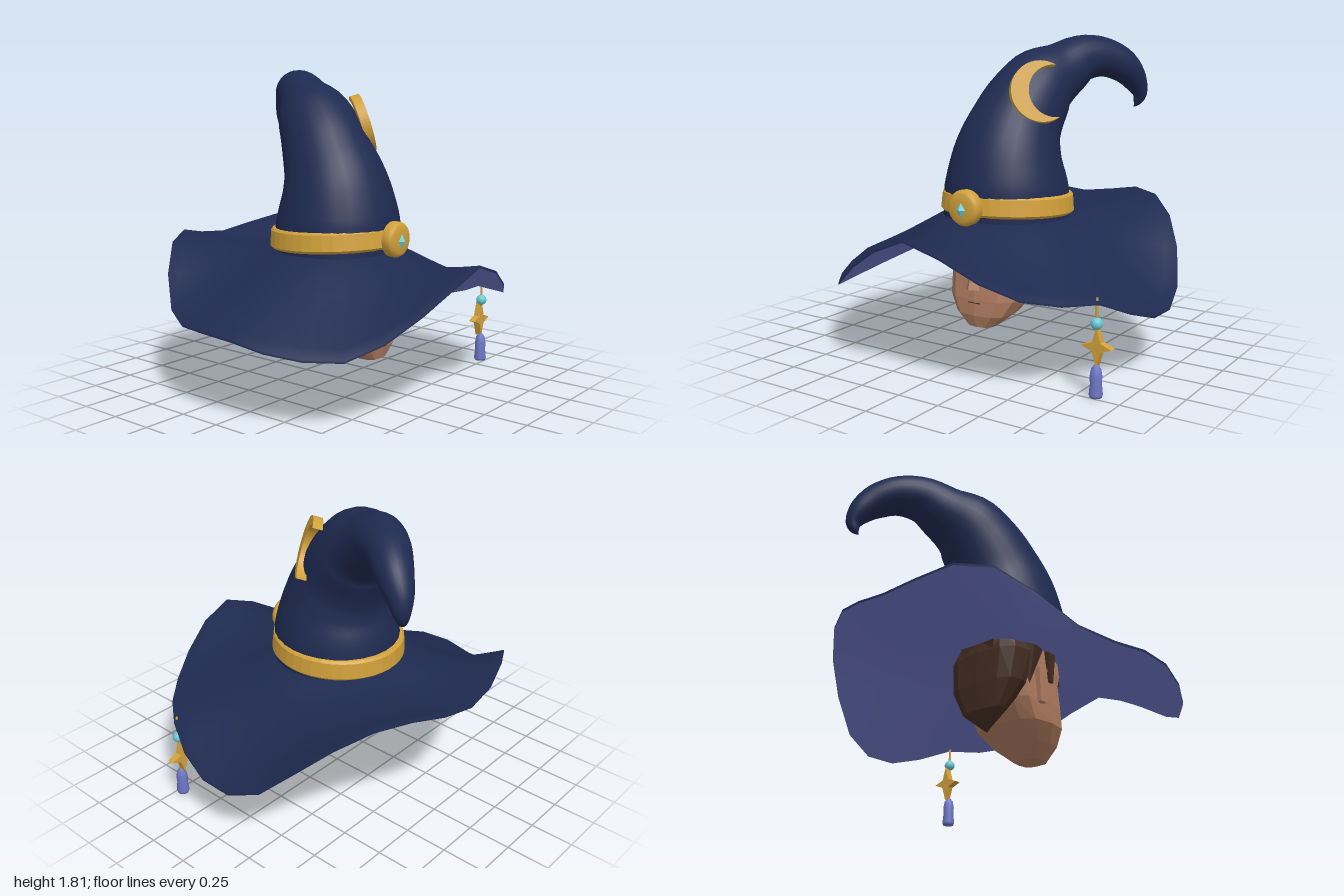
import * as THREE from 'three';

const mat = (name, color) => {
  const m = new THREE.MeshStandardMaterial({ color });
  m.name = name;
  return m;
};

// Joins closed rings of points (counter-clockwise seen from the end) into a skin
function loft(rings, flat = false) {
  const n = rings[0].length, idx = [];
  for (let j = 0; j < rings.length - 1; j++)
    for (let i = 0; i < n; i++) {
      const a = j * n + i, b = j * n + (i + 1) % n;
      idx.push(a, b, a + n, b, b + n, a + n);
    }
  let g = new THREE.BufferGeometry().setFromPoints(rings.flat());
  g.setIndex(idx);
  if (flat) g = g.toNonIndexed();
  g.computeVertexNormals();
  return g;
}

const flatten = (g) => {
  const f = g.index ? g.toNonIndexed() : g;
  f.computeVertexNormals();
  return f;
};

const lathe = (rows, n) => new THREE.LatheGeometry(rows.map((p) => new THREE.Vector2(...p)), n);

// Rounded-square horizontal section from half width, front z and back z
function section([y, w, zf, zb], n = 12) {
  const pow = (v) => Math.sign(v) * Math.abs(v) ** 0.7;
  return Array.from({ length: n }, (_, i) => {
    const t = i / n * Math.PI * 2;
    return new THREE.Vector3(w * pow(Math.sin(t)), y, (zf + zb) / 2 + (zf - zb) / 2 * pow(Math.cos(t)));
  });
}

export function createModel() {
  const root = new THREE.Group();
  const navy = mat('navy felt', 0x1e2a50);
  const lilac = mat('lilac lining', 0x6e77c6);
  const gold = mat('gold', 0xd2a13b);
  const aqua = mat('turquoise', 0x6bcbd6);
  const skin = mat('skin', 0xb17d61);
  const hair = mat('dark brown hair', 0x432d21);
  const eyeTone = mat('light eye', 0xd9b08c);
  const add = (name, geo, m, x = 0, y = 0, z = 0) => {
    const mesh = new THREE.Mesh(geo, m);
    mesh.name = name;
    mesh.position.set(x, y, z);
    root.add(mesh);
    return mesh;
  };

  // Brim: wavy edge heights every 15 degrees, from the front towards +x
  const heights = [0.80, 0.71, 0.57, 0.51, 0.50, 0.40, 0.345, 0.40, 0.60, 0.78, 0.865, 0.83,
    0.79, 0.82, 0.86, 0.71, 0.52, 0.47, 0.485, 0.44, 0.405, 0.41, 0.54, 0.69];
  const edge = new THREE.CatmullRomCurve3(heights.map((y, i) => {
    const t = i / 24 * Math.PI * 2;
    return new THREE.Vector3(Math.sin(t), y, 0.95 * Math.cos(t));
  }), true);
  const SIDES = 30, STEPS = 10;
  const brimRing = (t, drop, inner) => Array.from({ length: SIDES }, (_, i) => {
    const a = i / SIDES * Math.PI * 2, e = edge.getPoint(i / SIDES);
    const y = 0.8 + (e.y - 0.8) * t ** 1.35 - 0.04 * Math.sin(Math.PI * t) - drop;
    return new THREE.Vector3(
      THREE.MathUtils.lerp(inner * Math.sin(a), e.x, t), y,
      THREE.MathUtils.lerp(inner * Math.cos(a) - 0.01, e.z, t));
  });
  const top = [brimRing(1, 0.014, 0.34)], under = [];
  for (let j = 0; j <= STEPS; j++) {
    const t = j / STEPS;
    top.push(brimRing(1 - t, 0, 0.34));
    under.push(brimRing(t, THREE.MathUtils.lerp(0.04, 0.014, t), 0.2));
  }
  add('brimTop', loft(top), navy);
  add('brimLining', loft(under), lilac);

  // Crown: tapering bent tube, each row is x, y, z, radius
  const spine = [
    [0, 0.78, -0.005, 0.37], [0, 0.95, 0, 0.36], [0, 1.1, -0.012, 0.325], [0.005, 1.2, -0.038, 0.297],
    [0.015, 1.3, -0.083, 0.268], [0.04, 1.41, -0.148, 0.248], [0.08, 1.52, -0.24, 0.222],
    [0.15, 1.6, -0.36, 0.17], [0.22, 1.67, -0.475, 0.138], [0.305, 1.675, -0.6, 0.117],
    [0.385, 1.62, -0.7, 0.1], [0.43, 1.53, -0.775, 0.073], [0.448, 1.45, -0.805, 0.045],
    [0.435, 1.40, -0.80, 0.025], [0.42, 1.37, -0.785, 0.001]];
  const path = new THREE.CatmullRomCurve3(spine.map((p) => new THREE.Vector3(p[0], p[1], p[2])));
  const girth = new THREE.CatmullRomCurve3(spine.map((p) => new THREE.Vector3(p[3], 0, 0)));
  const ex = new THREE.Vector3(1, 0, 0), ez = new THREE.Vector3(0, 0, 1);
  let last = new THREE.Vector3(0, 1, 0);
  const crown = [];
  for (let j = 0; j <= 56; j++) {
    const c = path.getPoint(j / 56), r = girth.getPoint(j / 56).x, tan = path.getTangent(j / 56);
    const q = new THREE.Quaternion().setFromUnitVectors(last, tan);
    ex.applyQuaternion(q);
    ez.applyQuaternion(q);
    last = tan;
    crown.push(Array.from({ length: 28 }, (_, i) => {
      const a = i / 28 * Math.PI * 2;
      return c.clone().addScaledVector(ex, r * Math.sin(a)).addScaledVector(ez, r * Math.cos(a));
    }));
  }
  add('crown', loft(crown), navy);

  // Hat band, slightly higher in front
  const bandRows = [[0.345, -0.06], [0.372, -0.06], [0.386, -0.045], [0.378, 0.045], [0.366, 0.058], [0.34, 0.058]];
  add('hatBand', flatten(lathe(bandRows, 40)), gold, 0, 0.865, -0.012).rotation.x = -0.045;

  // Domed buckle and gem
  const buckleRows = [[0.09, -0.035], [0.1, -0.028], [0.101, 0.01], [0.093, 0.025], [0.075, 0.034], [0.04, 0.038], [0, 0.039]];
  add('buckle', lathe(buckleRows, 24), gold, 0, 0.88, 0.415).rotation.x = Math.PI / 2;
  add('buckleGem', flatten(new THREE.OctahedronGeometry(1)), aqua, 0, 0.873, 0.44).scale.set(0.05, 0.068, 0.034);

  // Crescent moon leaning on the crown
  const moon = new THREE.Shape();
  const rad = Math.PI / 180;
  moon.absarc(0, 0, 0.175, 59 * rad, 301 * rad, false);
  moon.absarc(0.0757, 0, 0.15, 275.5 * rad, 84.5 * rad, true);
  const moonGeo = new THREE.ExtrudeGeometry(moon, { depth: 0.055, bevelEnabled: false, curveSegments: 20 });
  moonGeo.translate(0, 0, -0.0275);
  add('crescentMoon', moonGeo, gold, 0.228, 1.495, 0.001).rotation.set(-0.3, Math.PI / 4, 0, 'YXZ');

  // Hanging charm: cord, bead, star, tassel
  const cx = 0.85, cz = 0.468;
  add('charmCord', new THREE.CylinderGeometry(0.007, 0.007, 0.37, 6), gold, cx, 0.335, cz);
  add('charmBead', new THREE.SphereGeometry(0.032, 16, 12), aqua, cx, 0.387, cz);
  const star = new THREE.Shape(Array.from({ length: 8 }, (_, i) => {
    const r = i % 2 ? 0.034 : (i % 4 ? 0.105 : 0.086), a = i * Math.PI / 4;
    return new THREE.Vector2(r * Math.cos(a), r * Math.sin(a));
  }));
  add('charmStar', new THREE.ExtrudeGeometry(star, { depth: 0.042, bevelEnabled: false }), gold, cx, 0.262, 0.432);
  const tasselRows = [[0, 0], [0.032, 0], [0.037, 0.015], [0.031, 0.07], [0.033, 0.11], [0.026, 0.15], [0.012, 0.168], [0, 0.17]];
  add('tassel', lathe(tasselRows, 14), lilac, cx, 0, cz);

  // Faceted head, rows are y, half width, front z, back z
  const head = [[0.18, 0, 0.23, 0.23], [0.18, 0.085, 0.315, 0.15], [0.25, 0.17, 0.335, 0.06],
    [0.34, 0.23, 0.335, -0.05], [0.45, 0.24, 0.325, -0.13], [0.58, 0.24, 0.31, -0.17],
    [0.64, 0.245, 0.325, -0.18], [0.74, 0.245, 0.31, -0.19], [0.88, 0.19, 0.22, -0.16], [0.93, 0, 0.03, 0.03]];
  add('head', loft(head.map((r) => section(r)), true), skin);
  add('nose', flatten(new THREE.CylinderGeometry(0.012, 0.045, 0.17, 4)), skin, 0, 0.49, 0.335).rotation.x = -0.12;
  add('mouth', new THREE.BoxGeometry(0.08, 0.004, 0.006), hair, 0, 0.325, 0.334);

  for (const s of [-1, 1]) {
    add('ear', flatten(new THREE.CylinderGeometry(0.05, 0.03, 0.19, 5)), skin, s * 0.25, 0.52, 0.03).scale.x = 0.6;
    const brow = add('eyebrow', new THREE.BoxGeometry(0.115, 0.03, 0.02), hair, s * 0.1, 0.64, 0.318);
    brow.rotation.set(0, s * 0.2, s * 0.1);
    add('eyeWhite', new THREE.BoxGeometry(0.075, 0.022, 0.009), eyeTone, s * 0.11, 0.577, 0.302).rotation.y = s * 0.2;
    add('iris', new THREE.BoxGeometry(0.026, 0.024, 0.009), hair, s * 0.11, 0.577, 0.307).rotation.y = s * 0.2;
    add('upperLid', new THREE.BoxGeometry(0.09, 0.009, 0.012), hair, s * 0.11, 0.592, 0.304).rotation.y = s * 0.2;
    add('sideburn', flatten(new THREE.CylinderGeometry(0.05, 0.02, 0.22, 5)), hair, s * 0.26, 0.67, 0.1).scale.x = 0.6;
  }

  // Hair: shell over the back of the head with a pointed nape and broad locks
  const shell = [[0.26, 0, -0.14, -0.14], [0.30, 0.05, -0.125, -0.18], [0.37, 0.14, -0.1, -0.22],
    [0.52, 0.23, 0.0, -0.235], [0.7, 0.255, 0.08, -0.235], [0.86, 0.2, 0.15, -0.2], [0.95, 0, 0, 0]];
  add('hairShell', loft(shell.map((r) => section(r)), true), hair);
  [[-3, 0.52], [-2, 0.46], [-1, 0.42], [1, 0.40], [2, 0.45], [3, 0.52]].forEach(([k, tip]) => {
    const a = Math.PI + k * 0.42, h = 0.76 - tip;
    const lock = add('hairLock', flatten(new THREE.ConeGeometry(0.1, h, 4)), hair,
      0.235 * Math.sin(a), tip + h / 2, 0.02 + 0.215 * Math.cos(a));
    lock.rotation.set(Math.PI, a, 0, 'YXZ');
    lock.scale.z = 0.6;
  });

  return root;
}
